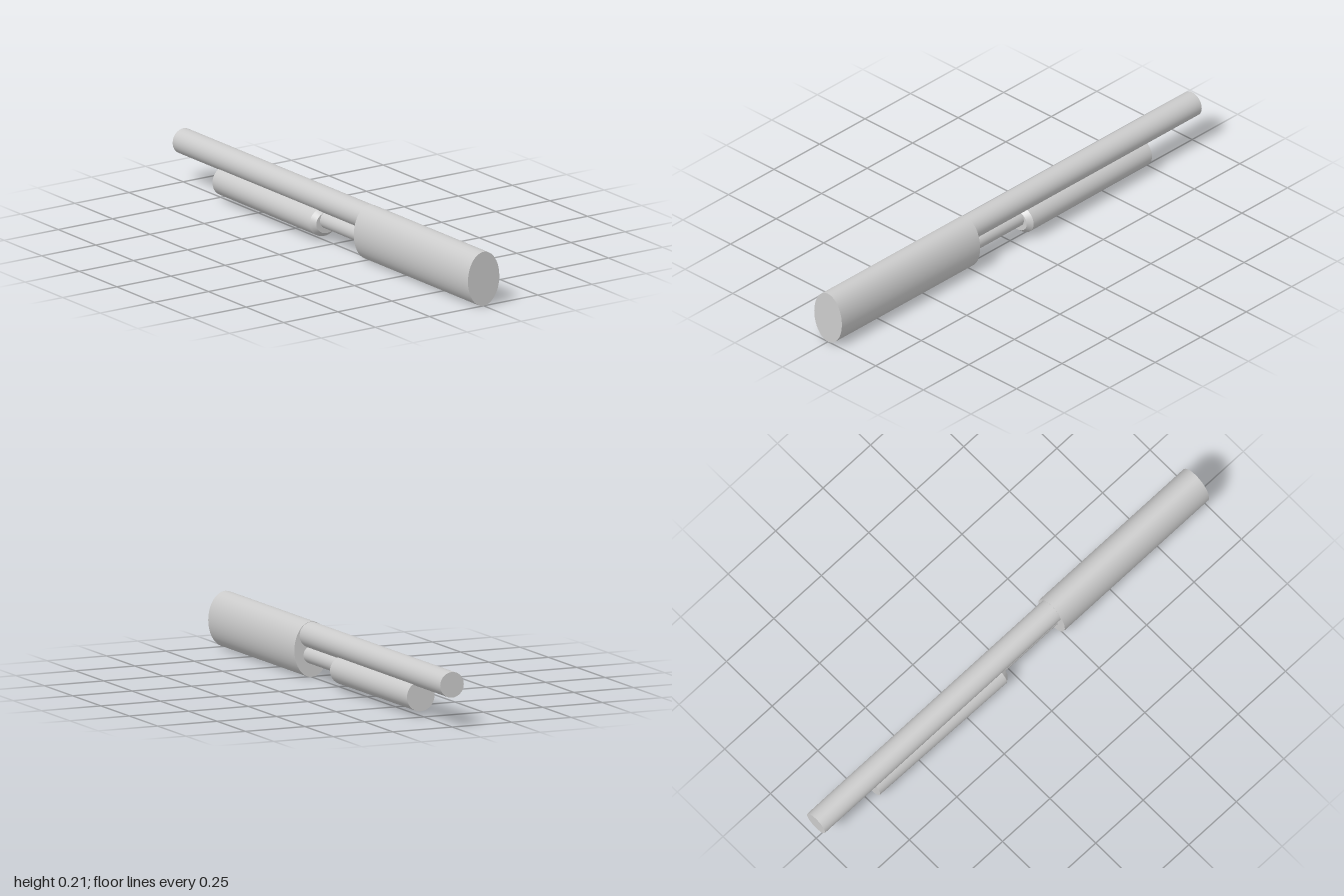
import * as THREE from 'three';

const material = new THREE.MeshStandardMaterial({ color: 0xcccccc });

// Elliptical rod along z, from zBack to zFront; radii are [rx, ry] at each end
function rod(name, zBack, zFront, y, back, front = back, x = 0, capped = true) {
  const length = zFront - zBack;
  const geometry = new THREE.CylinderGeometry(1, 1, length, 40, 1, !capped);
  geometry.rotateX(Math.PI / 2);
  const p = geometry.attributes.position;
  for (let i = 0; i < p.count; i++) {
    const end = p.getZ(i) > 0 ? front : back;
    p.setX(i, p.getX(i) * end[0]);
    p.setY(i, p.getY(i) * end[1]);
  }
  geometry.computeVertexNormals();
  const mesh = new THREE.Mesh(geometry, material);
  mesh.name = name;
  mesh.position.set(x, y, (zBack + zFront) / 2);
  return mesh;
}

export function createModel() {
  const model = new THREE.Group();
  model.name = 'barrelAssembly';

  // Thick oval body at the front
  model.add(rod('body', 0.24, 1, 0.109, [0.0725, 0.107]));

  // Long upper barrel, sunk a little into the body
  model.add(rod('barrel', -1, 0.26, 0.1645, [0.0495, 0.0495], undefined, 0.001));

  // Thin tube under the barrel, running inside the grip
  model.add(rod('lowerTube', -0.7, 0.26, 0.088, [0.034, 0.034]));

  // Sliding grip, slightly tapered, with a bevelled front end
  const grip = new THREE.Group();
  grip.name = 'slidingGrip';
  grip.add(rod('gripSleeve', -0.72, -0.06, 0.077, [0.058, 0.058], [0.067, 0.058], -0.001));
  grip.add(rod('gripBevel', -0.06, -0.04, 0.077, [0.067, 0.058], [0.05, 0.042], -0.001));
  model.add(grip);

  return model;
}
